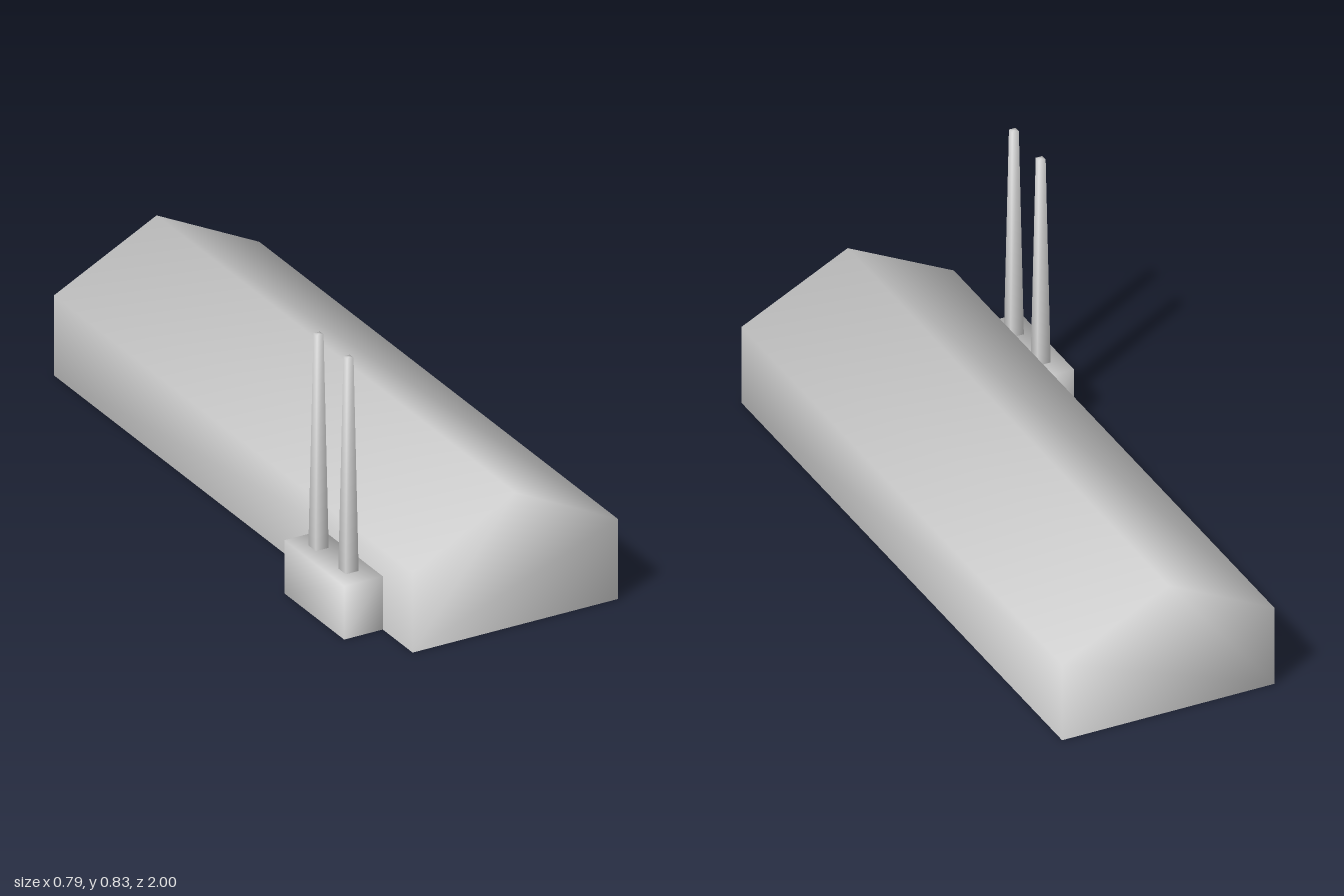
import * as THREE from 'three';

// Open the underside and blend the face normals at each corner, weighted by face angle.
function openShell(source) {
  const flat = (source.index ? source.toNonIndexed() : source).attributes.position;
  const points = Array.from({ length: flat.count }, (_, i) => new THREE.Vector3().fromBufferAttribute(flat, i));
  const floor = Math.min(...points.map((p) => p.y)) + 1e-5;
  const key = (p) => p.toArray().map((n) => Math.round(n * 10000) + 0).join(',');
  const normals = new Map();
  const kept = [];
  for (let i = 0; i < points.length; i += 3) {
    const tri = points.slice(i, i + 3);
    if (tri.every((p) => p.y < floor)) continue;
    kept.push(...tri);
    const face = new THREE.Triangle(...tri).getNormal(new THREE.Vector3());
    tri.forEach((p, k) => {
      const a = tri[(k + 1) % 3].clone().sub(p);
      const b = tri[(k + 2) % 3].clone().sub(p);
      if (!normals.has(key(p))) normals.set(key(p), new THREE.Vector3());
      normals.get(key(p)).addScaledVector(face, a.angleTo(b));
    });
  }
  const geo = new THREE.BufferGeometry().setFromPoints(kept);
  const blended = kept.flatMap((p) => normals.get(key(p)).normalize().toArray());
  geo.setAttribute('normal', new THREE.Float32BufferAttribute(blended, 3));
  return geo;
}

export function createModel() {
  const model = new THREE.Group();
  model.name = 'factory';
  const grey = new THREE.MeshStandardMaterial({ color: 0xd8d8d8, side: THREE.DoubleSide });
  grey.name = 'light grey';

  function add(name, geometry, x, y, z) {
    const mesh = new THREE.Mesh(openShell(geometry), grey);
    mesh.name = name;
    mesh.position.set(x, y, z);
    model.add(mesh);
  }

  // Long hall with a gabled roof
  const halfWidth = 0.333;
  const gable = new THREE.Shape([
    new THREE.Vector2(-halfWidth, 0),
    new THREE.Vector2(halfWidth, 0),
    new THREE.Vector2(halfWidth, 0.25),
    new THREE.Vector2(0, 0.417),
    new THREE.Vector2(-halfWidth, 0.25),
  ]);
  add('hall', new THREE.ExtrudeGeometry(gable, { depth: 2, bevelEnabled: false }), 0.0625, 0, -1);

  // Low annex against the side wall
  add('annex', new THREE.BoxGeometry(0.125, 0.167, 0.333), -0.333, 0.0835, 0.667);

  // Two square tapering chimneys on the annex
  const height = 0.667;
  for (const z of [0.583, 0.75]) {
    const stack = new THREE.CylinderGeometry(0.0104 * Math.SQRT2, 0.0208 * Math.SQRT2, height, 4);
    stack.rotateY(Math.PI / 4);
    add('chimney', stack, -0.333, 0.167 + height / 2, z);
  }
  return model;
}
